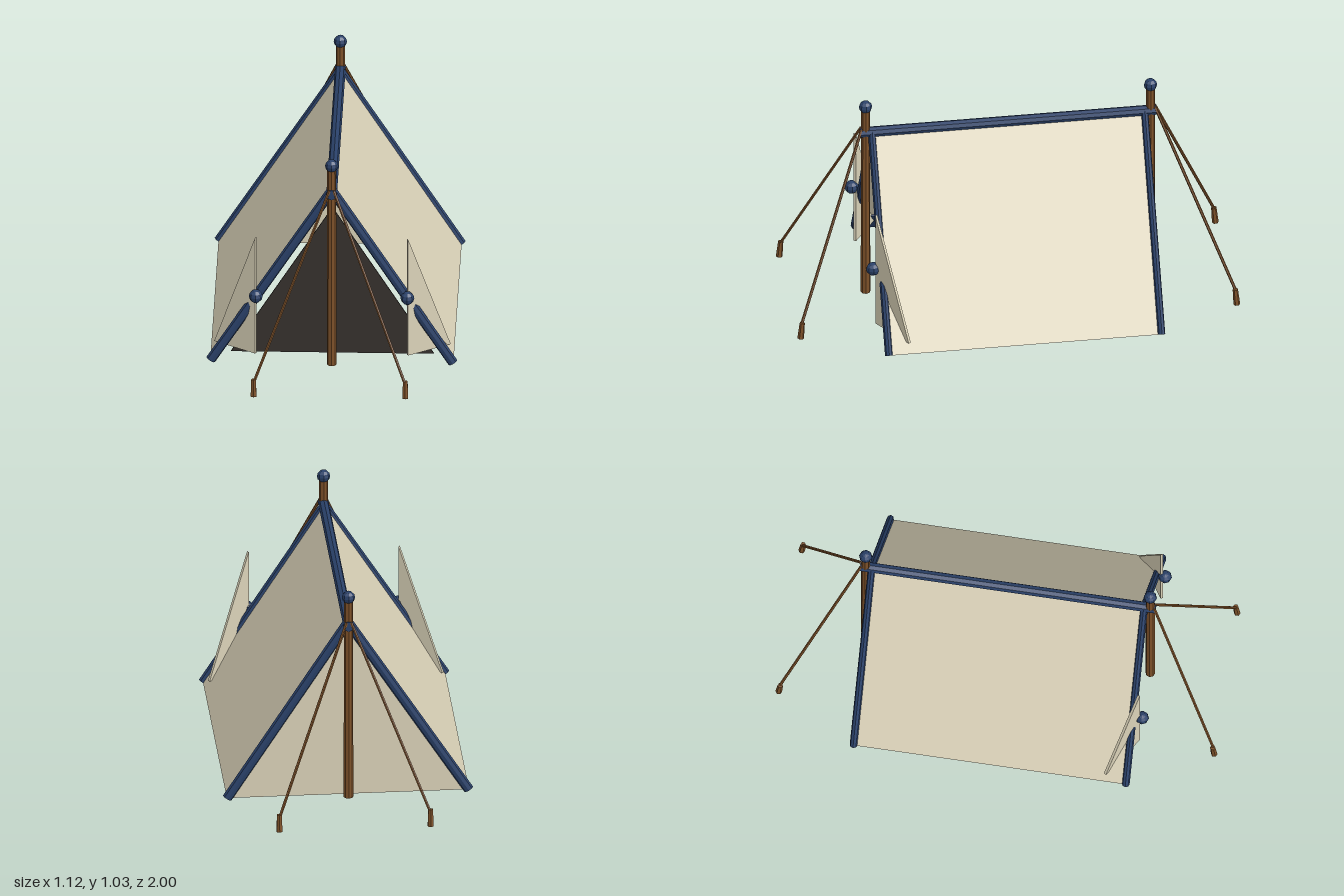
import * as THREE from 'three';

const mat = (color) => new THREE.MeshStandardMaterial({ color, flatShading: true, side: THREE.DoubleSide });
const canvas = mat(0xdad2b8);
const trimBlue = mat(0x2a4169);
const wood = mat(0x7d5129);
const shade = mat(0x36312d);

// Main dimensions
const RIDGE_Y = 0.865, BASE_Y = 0.015, HALF_W = 0.54, HALF_L = 0.615;
const POLE_Z = 0.645;
const V = (x, y, z) => new THREE.Vector3(x, y, z);

export function createModel() {
  const group = new THREE.Group();

  const add = (name, geometry, material, x = 0, y = 0, z = 0) => {
    const mesh = new THREE.Mesh(geometry, material);
    mesh.name = name;
    mesh.position.set(x, y, z);
    group.add(mesh);
    return mesh;
  };

  // Straight rod between two points
  const rod = (name, a, b, rTop, rBottom, sides, material) => {
    const dir = b.clone().sub(a);
    const mesh = add(name, new THREE.CylinderGeometry(rTop, rBottom, dir.length(), sides), material);
    mesh.position.copy(a).add(b).multiplyScalar(0.5);
    mesh.quaternion.setFromUnitVectors(V(0, 1, 0), dir.normalize());
    return mesh;
  };

  // Thin upright triangle of cloth
  const triangle = (name, points, depth, material, z) => {
    const shape = new THREE.Shape(points.map(([x, y]) => new THREE.Vector2(x, y)));
    const geometry = new THREE.ExtrudeGeometry(shape, { depth, bevelEnabled: false });
    geometry.translate(0, 0, -depth / 2);
    return add(name, geometry, material, 0, 0, z);
  };

  // Ridge beam
  rod('ridgeBeam', V(0, RIDGE_Y, -0.67), V(0, RIDGE_Y, 0.67), 0.024, 0.024, 8, trimBlue);

  // Back wall and the dark entrance panel set inside the front
  triangle('backWall', [[-HALF_W, BASE_Y], [HALF_W, BASE_Y], [0, RIDGE_Y]], 0.008, canvas, -0.61);
  triangle('entrancePanel', [[-0.455, BASE_Y], [0.455, BASE_Y], [0, 0.735]], 0.008, shade, 0.52);

  const slope = Math.hypot(HALF_W, RIDGE_Y - BASE_Y);
  const angle = Math.atan2(HALF_W, RIDGE_Y - BASE_Y);

  for (const s of [-1, 1]) {
    // Sloping roof cloth, with a hem on the inside of its lower edge
    const roof = add('roofPanel', new THREE.BoxGeometry(0.012, slope, 2 * HALF_L), canvas,
      s * HALF_W / 2, (RIDGE_Y + BASE_Y) / 2, 0);
    roof.rotation.z = s * angle;
    const hem = new THREE.BoxGeometry(0.008, 0.12, 2 * HALF_L);
    hem.translate(-s * 0.01, 0.06 - slope / 2, 0);
    const hemMesh = add('innerHem', hem, trimBlue, roof.position.x, roof.position.y, 0);
    hemMesh.rotation.z = s * angle;

    // Edge trim on both gables
    for (const e of [-1, 1]) {
      const trim = rod('gableTrim', V(s * 0.543, 0.017, e * 0.617), V(0, RIDGE_Y, e * 0.617),
        0.023, 0.023, 8, trimBlue);
      trim.scale.z = 0.75;

      // Guy rope and its stake
      rod('guyRope', V(s * 0.34, 0.08, e * 0.985), V(s * 0.01, 0.885, e * 0.665), 0.007, 0.007, 6, wood);
      rod('stake', V(s * 0.34, 0.015, e * 0.987), V(s * 0.34, 0.095, e * 0.98), 0.012, 0.015, 6, wood);
    }

    // Folded-back door flap with its tie knob
    const flap = triangle('doorFlap', [[0, 0.065], [0.225, 0.065], [0, 0.64]], 0.012, canvas, 0.645);
    flap.position.x = s * 0.34;
    flap.rotation.y = s > 0 ? 0.59 : Math.PI - 0.59;
    add('flapKnob', new THREE.SphereGeometry(0.031, 8, 6), trimBlue, s * 0.34, 0.355, 0.66);
  }

  // End poles and their finials
  for (const e of [-1, 1]) {
    rod('pole', V(0, BASE_Y, e * POLE_Z), V(0, 0.99, e * POLE_Z), 0.02, 0.022, 8, wood);
    add('poleFinial', new THREE.SphereGeometry(0.03, 8, 6), trimBlue, 0, 1, e * POLE_Z);
  }

  return group;
}
